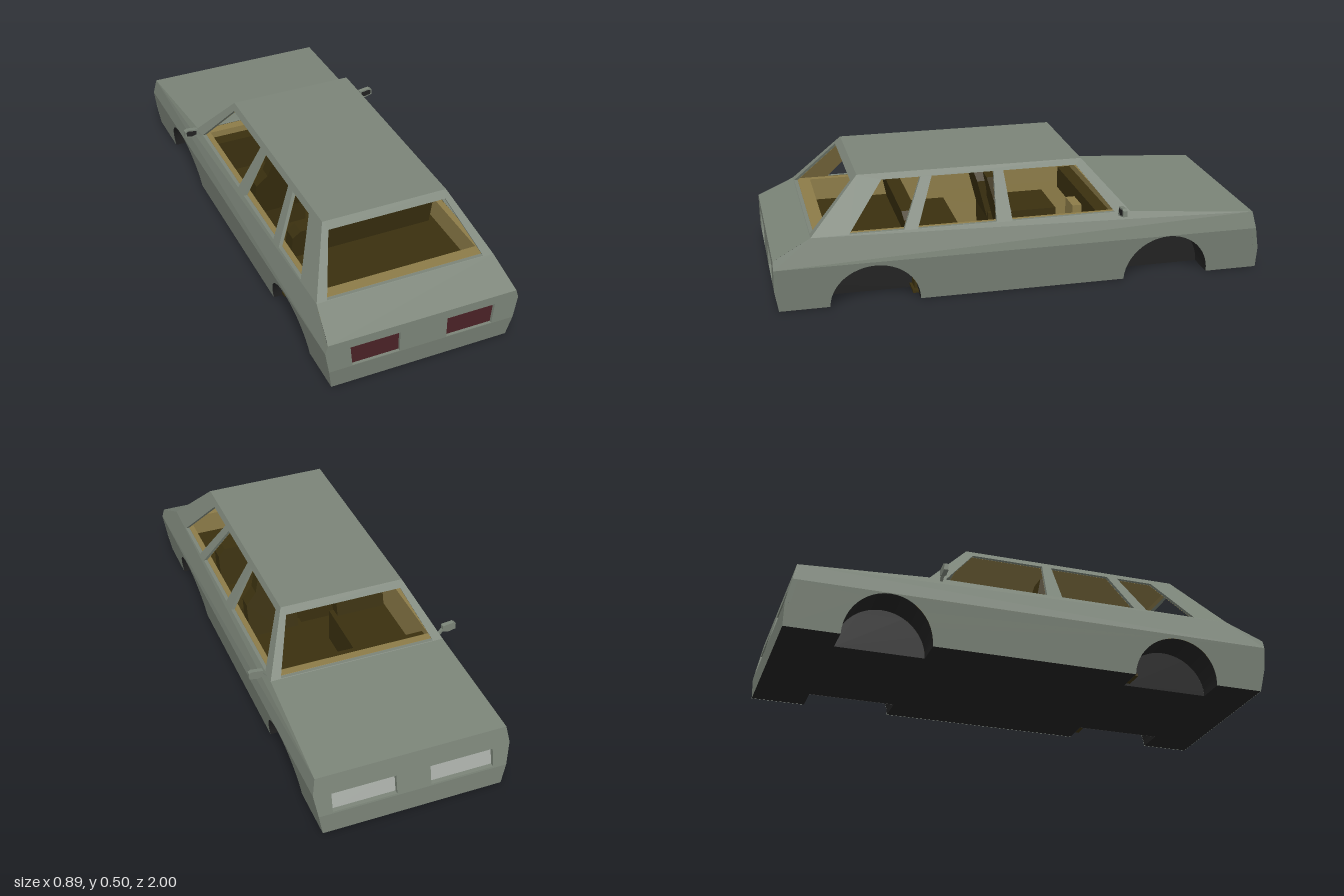
import * as THREE from 'three';

const mat = (name, color, side = THREE.FrontSide) => {
  const m = new THREE.MeshStandardMaterial({ color, side });
  m.name = name;
  return m;
};

// Half width of the body at height y: sill, crease, belt, roof
const halfWidth = (y) => {
  const rows = [[0, 0.37], [0.185, 0.402], [0.295, 0.37], [0.5, 0.26]];
  for (let i = 1; i < rows.length; i++) {
    const [y0, x0] = rows[i - 1], [y1, x1] = rows[i];
    if (y <= y1 + 1e-6) return x0 + (x1 - x0) * (y - y0) / (y1 - y0);
  }
  return 0.26;
};
const polygon = (pts) => new THREE.Shape(pts.map(([a, b]) => new THREE.Vector2(a, b)));
const withHoles = (shape, holes) => {
  holes.forEach((h) => shape.holes.push(polygon(h)));
  return shape;
};

// Turns a flat shape into a panel; place(u, v, w) gives the final position
function panel(shape, place, depth = 0) {
  let g = depth
    ? new THREE.ExtrudeGeometry(shape, { depth, bevelEnabled: false }).translate(0, 0, -depth)
    : new THREE.ShapeGeometry(shape);
  if (g.index) g = g.toNonIndexed();
  const p = g.attributes.position;
  for (let i = 0; i < p.count; i++) p.setXYZ(i, ...place(p.getX(i), p.getY(i), p.getZ(i)));
  g.computeVertexNormals();
  return g;
}

export function createModel() {
  const D = THREE.DoubleSide;
  const paint = mat('body paint', 0x7b8478, D);
  const tan = mat('tan trim', 0x8c7b48, D);
  const brown = mat('brown upholstery', 0x3a300f);
  const black = mat('black underside', 0x222222, D);
  const red = mat('tail lamp red', 0x4a2226);
  const lens = mat('headlamp lens', 0xa9aea8);

  const car = new THREE.Group();
  car.name = 'car';
  const add = (parent, name, geometry, material) => {
    const m = new THREE.Mesh(geometry, material);
    m.name = name;
    parent.add(m);
    return m;
  };
  const box = (parent, name, material, [x0, x1], [y0, y1], [z0, z1]) => {
    const m = add(parent, name, new THREE.BoxGeometry(x1 - x0, y1 - y0, z1 - z0), material);
    m.position.set((x0 + x1) / 2, (y0 + y1) / 2, (z0 + z1) / 2);
    return m;
  };
  const wells = [{ z: -0.6, r: 0.183 }, { z: 0.605, r: 0.17 }];

  // Side panels use u = -z, v = y
  const sidePlace = (u, v, w) => [(u > 0.9 && v > 0.25 ? 0.39 : halfWidth(v)) + w, v, -u];
  const sill = new THREE.Shape();
  sill.moveTo(-0.985, 0);
  [wells[1], wells[0]].forEach(({ z, r }) => {
    sill.lineTo(-z - 0.18, 0);
    sill.absellipse(-z, 0, 0.18, r, Math.PI, 0, true);
  });
  [[1, 0], [1, 0.09], [0.98, 0.185], [-1, 0.185], [-1, 0.09]].forEach((p) => sill.lineTo(...p));
  const shoulder = polygon([[-1, 0.185], [0.98, 0.185], [0.965, 0.255], [0.44, 0.295], [-0.85, 0.295], [-1, 0.22]]);
  const sideFrame = withHoles(
    polygon([[-0.85, 0.295], [0.44, 0.295], [0.26, 0.5], [-0.65, 0.5]]),
    [
      [[-0.7, 0.297], [-0.485, 0.297], [-0.4, 0.477], [-0.555, 0.477]],
      [[-0.43, 0.297], [-0.115, 0.297], [-0.105, 0.477], [-0.355, 0.477]],
      [[-0.05, 0.297], [0.375, 0.297], [0.235, 0.477], [-0.065, 0.477]],
    ]);

  for (const s of [1, -1]) {
    const side = new THREE.Group();
    side.name = s > 0 ? 'leftSide' : 'rightSide';
    side.scale.x = s;
    car.add(side);
    add(side, 'lowerSidePanel', panel(sill, sidePlace), paint);
    add(side, 'upperSidePanel', panel(shoulder, sidePlace), paint);
    add(side, 'windowPillars', panel(sideFrame, sidePlace, 0.015), paint);
    add(side, 'pillarTrim', panel(sideFrame, (u, v) => sidePlace(u, v, -0.016)), tan);

    // Wheel wells: curved liner and inner wall
    wells.forEach(({ z, r }) => {
      const arc = new THREE.Shape().absellipse(0, 0, 0.18, r, 0, Math.PI, false);
      add(side, 'wheelWellWall', panel(arc, (u, v) => [0.25, v, z - u]), black);
      const liner = new THREE.CylinderGeometry(1, 1, 1, 32, 1, true, 0, Math.PI);
      const p = liner.attributes.position;
      for (let i = 0; i < p.count; i++) {
        const y = Math.max(0, p.getX(i)) * r;
        p.setXYZ(i, p.getY(i) > 0 ? halfWidth(y) - 0.002 : 0.25, y, z + p.getZ(i) * 0.18);
      }
      liner.computeVertexNormals();
      add(side, 'wheelWellLiner', liner, black);
    });

    // Door mirror
    const housing = polygon([[0.387, 0.3], [0.412, 0.292], [0.445, 0.3], [0.445, 0.325], [0.434, 0.332], [0.387, 0.326]]);
    add(side, 'mirrorHousing', panel(housing, (u, v, w) => [u, v, w - 0.385], 0.018), paint);
    const glass = polygon([[0.394, 0.304], [0.413, 0.298], [0.439, 0.304], [0.439, 0.322], [0.432, 0.326], [0.394, 0.321]]);
    add(side, 'mirrorGlass', panel(glass, (u, v) => [u, v, -0.384]), black);
    const arm = add(side, 'mirrorArm', new THREE.BoxGeometry(0.045, 0.01, 0.012), paint);
    arm.position.set(0.378, 0.291, -0.394);
    arm.rotation.z = 0.85;

    // Lower door lining and front seat
    box(side, 'doorLining', tan, [0.33, 0.34], [0.02, 0.2], [-0.41, 0.42]);
    box(side, 'frontSeatCushion', brown, [0.07, 0.31], [0.02, 0.17], [-0.25, 0.05]);
    const back = polygon([[0.09, 0.1], [0.305, 0.1], [0.305, 0.31], [0.26, 0.357], [0.237, 0.44], [0.163, 0.44], [0.138, 0.36], [0.09, 0.31]]);
    add(side, 'frontSeatBack', panel(back, (u, v, w) => [u, v, 0.115 + w + (v - 0.4) * 0.25], 0.055), brown);
  }

  // Hood, tail deck and roof, each from two edges [halfWidth, y, z]
  const strip = (name, [xa, ya, za], [xb, yb, zb], material = paint) => {
    const g = new THREE.BufferGeometry();
    g.setAttribute('position', new THREE.Float32BufferAttribute(
      [-xa, ya, za, xa, ya, za, xb, yb, zb, -xa, ya, za, xb, yb, zb, -xb, yb, zb], 3));
    g.computeVertexNormals();
    return add(car, name, g, material);
  };
  strip('hood', [0.37, 0.295, -0.44], [0.39, 0.255, -0.965]);
  strip('tailDeck', [0.391, 0.22, 1], [0.37, 0.295, 0.85]);
  strip('roof', [0.26, 0.5, 0.65], [0.26, 0.5, -0.26]);
  strip('headliner', [0.265, 0.485, -0.27], [0.265, 0.485, 0.66], tan);
  strip('lowerNose', [0.386, 0.09, -1], [0.37, 0, -1]);
  strip('lowerTail', [0.37, 0, 0.985], [0.386, 0.09, 1]);

  // Windscreen and rear window frames
  const frame = withHoles(
    polygon([[-0.37, 0.295], [0.37, 0.295], [0.26, 0.5], [-0.26, 0.5]]),
    [[[-0.327, 0.297], [0.327, 0.297], [0.245, 0.475], [-0.245, 0.475]]]);
  const frontZ = (v) => -0.44 + 0.18 * (v - 0.295) / 0.205;
  const rearZ = (v) => 0.85 - 0.2 * (v - 0.295) / 0.205;
  add(car, 'windscreenFrame', panel(frame, (u, v, w) => [-u, v, frontZ(v) - w], 0.015), paint);
  add(car, 'windscreenTrim', panel(frame, (u, v) => [-u, v, frontZ(v) + 0.016]), tan);
  add(car, 'rearWindowFrame', panel(frame, (u, v, w) => [u, v, rearZ(v) + w], 0.015), paint);
  add(car, 'rearWindowTrim', panel(frame, (u, v) => [u, v, rearZ(v) - 0.016]), tan);

  // Nose and tail panels with recessed lamps
  const mirrored = (pts) => [pts, pts.map(([x, y]) => [-x, y])];
  const headlamps = mirrored([[0.07, 0.097], [0.33, 0.097], [0.33, 0.175], [0.07, 0.175]]);
  const tailLamps = mirrored([[0.098, 0.093], [0.292, 0.093], [0.301, 0.182], [0.098, 0.182]]);
  const noseZ = (v) => -1 + 0.035 * (v - 0.09) / 0.165;
  const nose = withHoles(polygon([[-0.386, 0.09], [0.386, 0.09], [0.402, 0.185], [0.39, 0.255], [-0.39, 0.255], [-0.402, 0.185]]), headlamps);
  const tail = withHoles(polygon([[-0.386, 0.09], [0.386, 0.09], [0.402, 0.185], [0.391, 0.22], [-0.391, 0.22], [-0.402, 0.185]]), tailLamps);
  add(car, 'nose', panel(nose, (u, v, w) => [-u, v, noseZ(v) - w], 0.02), paint);
  add(car, 'tail', panel(tail, (u, v, w) => [u, v, 1 + w], 0.015), paint);
  headlamps.forEach((h) => add(car, 'headlamp', panel(polygon(h), (u, v) => [-u, v, noseZ(v) + 0.018]), lens));
  tailLamps.forEach((h) => add(car, 'tailLamp', panel(polygon(h), (u, v) => [u, v, 0.988]), red));

  // Underside, notched at the wheel wells
  const half = [[0.37, -1]];
  wells.forEach(({ z }) => half.push([0.37, z - 0.18], [0.25, z - 0.18], [0.25, z + 0.18], [0.37, z + 0.18]));
  half.push([0.37, 0.985]);
  const floor = polygon([...half, ...half.map(([x, z]) => [-x, z]).reverse()]);
  add(car, 'underside', panel(floor, (u, v) => [u, 0.001, v]), black);

  // Cabin: belt ledge, floors, dashboard and rear bench
  const ledge = withHoles(
    polygon([[-0.365, -0.435], [0.365, -0.435], [0.365, 0.845], [-0.365, 0.845]]),
    [[[-0.33, -0.385], [0.33, -0.385], [0.33, 0.78], [-0.33, 0.78]]]);
  add(car, 'beltLedge', panel(ledge, (u, v, w) => [u, 0.294 + w, v], 0.099), tan).material = tan;
  const g = car.children[car.children.length - 1].geometry;
  // The layout swaps y and z, so turn each triangle round
  const p = g.attributes.position;
  for (let i = 0; i < p.count; i += 3) {
    const a = [p.getX(i), p.getY(i), p.getZ(i)];
    p.setXYZ(i, p.getX(i + 1), p.getY(i + 1), p.getZ(i + 1));
    p.setXYZ(i + 1, ...a);
  }
  g.computeVertexNormals();
  box(car, 'cabinFloor', brown, [-0.335, 0.335], [0.01, 0.02], [-0.41, 0.45]);
  box(car, 'cargoFloor', brown, [-0.335, 0.335], [0.19, 0.2], [0.42, 0.8]);
  box(car, 'firewall', brown, [-0.335, 0.335], [0.02, 0.2], [-0.415, -0.405]);
  box(car, 'dashboard', brown, [-0.33, 0.33], [0.17, 0.265], [-0.41, -0.33]);
  box(car, 'centreConsole', tan, [-0.055, 0.055], [0.02, 0.22], [-0.35, -0.29]);
  box(car, 'rearBenchCushion', brown, [-0.31, 0.31], [0.02, 0.17], [0.2, 0.44]);
  const bench = polygon([[-0.305, 0.1], [0.305, 0.1], [0.305, 0.31], [0.275, 0.34], [-0.275, 0.34], [-0.305, 0.31]]);
  add(car, 'rearBenchBack', panel(bench, (u, v, w) => [u, v, 0.48 + w + (v - 0.34) * 0.2], 0.06), brown);
  return car;
}
